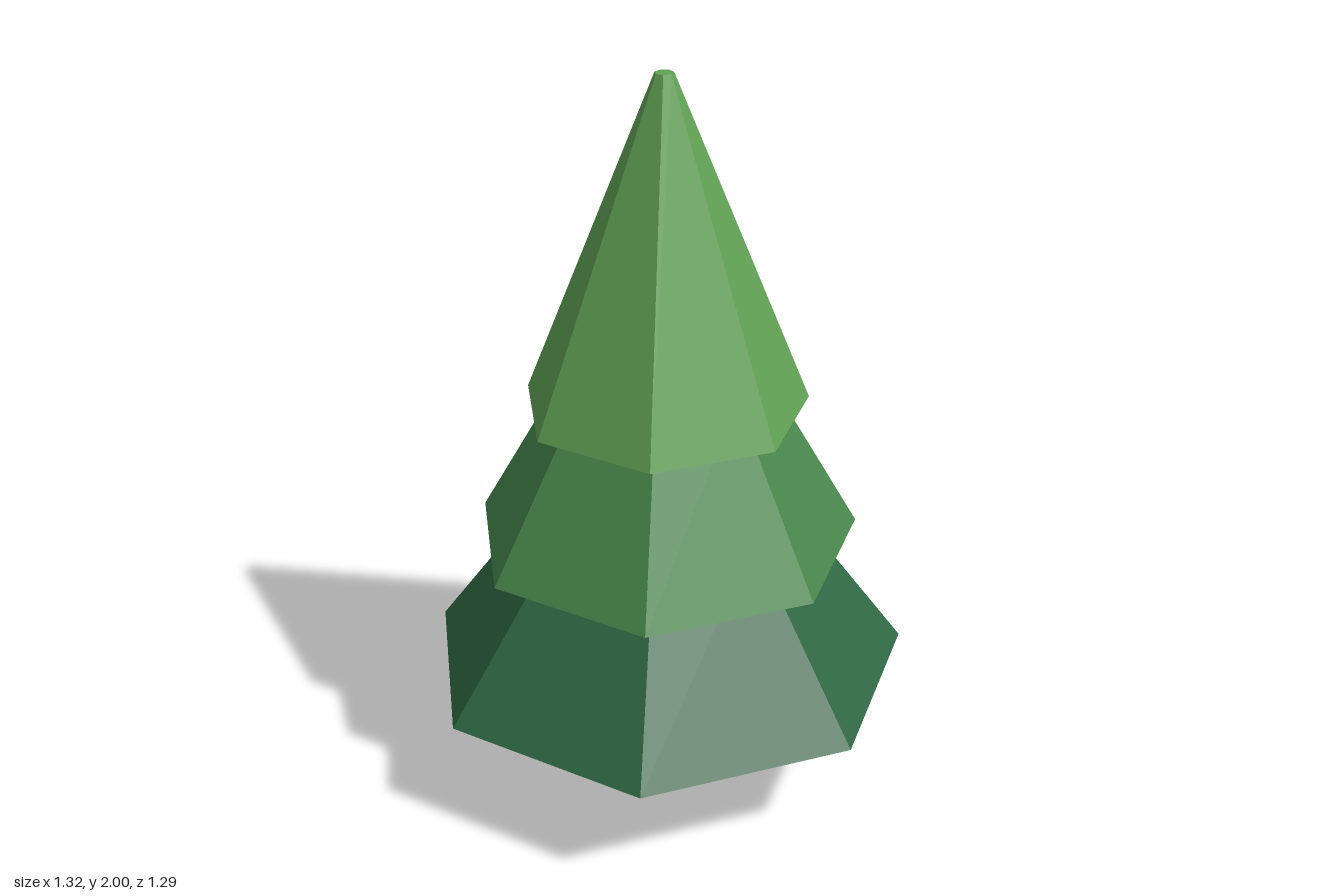
import * as THREE from 'three';

const material = (name, color) => {
  const m = new THREE.MeshStandardMaterial({ color });
  m.name = name;
  return m;
};

// Faceted frustum standing on y0, with one corner pointing to the back
function frustum(name, mat, rTop, rBottom, y0, y1, sides) {
  const geometry = new THREE.CylinderGeometry(rTop, rBottom, y1 - y0, sides)
    .rotateY(Math.PI)
    .translate(0, (y0 + y1) / 2, 0)
    .toNonIndexed();
  geometry.computeVertexNormals(); // one normal per facet
  const mesh = new THREE.Mesh(geometry, mat);
  mesh.name = name;
  return mesh;
}

export function createModel() {
  const tree = new THREE.Group();
  tree.name = 'pineTree';

  // Trunk
  tree.add(frustum('trunk', material('bark brown', 0x7a4424), 0.11, 0.11, 0, 0.4, 8));

  // Foliage tiers, each running up inside the next one
  const tiers = [
    ['lowerFoliage', material('dark green', 0x306844), 0.323, 0.677, 0.31, 0.8],
    ['middleFoliage', material('medium green', 0x48884c), 0.257, 0.533, 0.7, 1.19],
    ['upperFoliage', material('light green', 0x62a355), 0.025, 0.39, 1.09, 2],
  ];
  for (const [name, mat, rTop, rBottom, y0, y1] of tiers) {
    tree.add(frustum(name, mat, rTop, rBottom, y0, y1, 7));
  }

  // Centre the seven-sided outline in depth
  tree.children.forEach((part) => { part.position.z = 0.033; });
  return tree;
}
